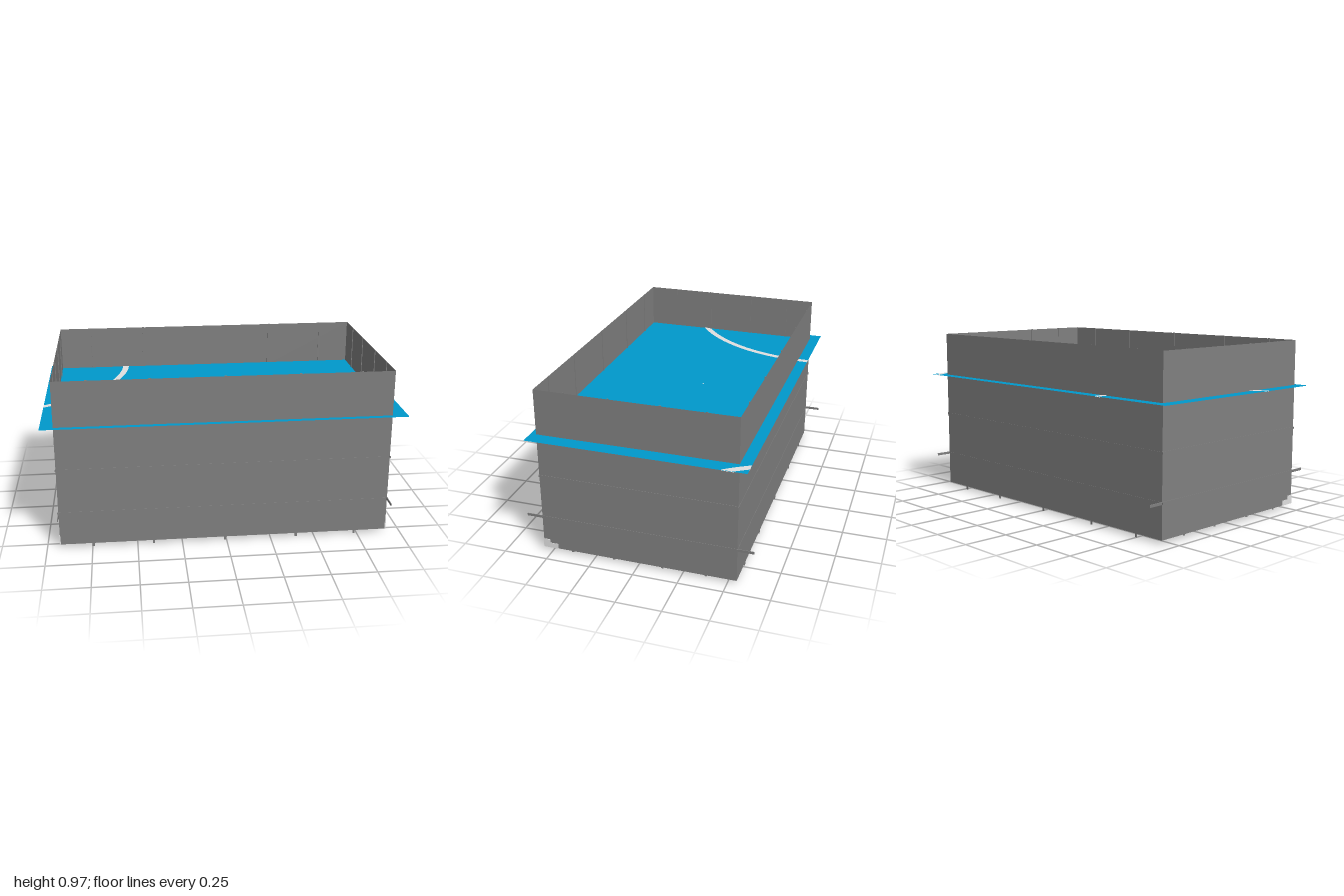
import * as THREE from 'three';

export function createModel() {
  const model = new THREE.Group();
  const material = (name, color) => {
    const m = new THREE.MeshStandardMaterial({ color, side: THREE.DoubleSide });
    m.name = name;
    return m;
  };
  const grey = material('grey', 0x808080);
  const blue = material('blue', 0x0099cc);
  const white = material('white', 0xe0e0e0);

  const add = (name, geometry, mat, x, y, z) => {
    const mesh = new THREE.Mesh(geometry, mat);
    mesh.name = name;
    mesh.position.set(x, y, z);
    model.add(mesh);
    return mesh;
  };
  const box = (name, mat, w, h, d, x, y, z) =>
    add(name, new THREE.BoxGeometry(w, h, d), mat, x, y, z);

  // Open-topped tank made of thin sheets, with a pale floor
  const left = 0.915, right = -0.928, half = 0.549, bottom = 0.02, top = 0.965;
  const width = left - right, midX = (left + right) / 2;
  const height = top - bottom, midY = (top + bottom) / 2;
  for (const z of [-half, half]) {
    add('longWall', new THREE.PlaneGeometry(width, height), grey, midX, midY, z);
  }
  for (const x of [right, left]) {
    add('endWall', new THREE.PlaneGeometry(half * 2, height).rotateY(Math.PI / 2), grey, x, midY, 0);
  }
  add('floor', new THREE.PlaneGeometry(width, half * 2).rotateX(Math.PI / 2), white, midX, bottom, 0);

  // Upright ribs just inside the walls, reaching below the floor as small feet
  for (const z of [-half + 0.003, half - 0.003]) {
    for (const x of [-0.745, -0.41, -0.008, 0.397, 0.733]) {
      box('longWallRib', grey, 0.012, 0.967, 0.004, x, 0.4835, z);
    }
  }
  for (const x of [right + 0.003, left - 0.003]) {
    for (const z of [-0.38, -0.138, 0.138, 0.38]) {
      box('endWallRib', grey, 0.004, 0.954, 0.011, x, 0.49, z);
    }
  }

  // Horizontal rails; the low ones on the end walls overhang both corners
  for (const y of [0.21, 0.463]) {
    for (const z of [-half, half]) {
      box('longWallRail', grey, width + 0.012, 0.01, 0.003, midX, y, z);
    }
    const length = y < 0.3 ? 1.275 : 1.106;
    for (const x of [right, left]) {
      box('endWallRail', grey, 0.004, 0.014, length, x, y, 0);
    }
  }

  // Stepped pale patches low on the end walls
  for (const x of [right, left]) {
    box('patchLower', white, 0.006, 0.029, 0.086, x, 0.0345, 0.508);
    box('patchUpper', white, 0.006, 0.022, 0.038, x, 0.059, 0.532);
  }

  // Blue sheet crossing the tank
  const level = 0.71;
  add('waterSheet', new THREE.PlaneGeometry(2, 1.19).rotateX(-Math.PI / 2), blue, 0, level, -0.015);

  // Curved bands, each trimmed at the edges of the sheet
  const band = (cx, cz, inner, outer, start, end) => {
    const shape = new THREE.Shape();
    shape.absarc(0, 0, outer, start(outer), end(outer), start(outer) > end(outer));
    shape.absarc(0, 0, inner, end(inner), start(inner), start(inner) < end(inner));
    const geometry = new THREE.ShapeGeometry(shape, 40).rotateX(-Math.PI / 2);
    for (const dy of [-0.002, 0.002]) add('curvedBand', geometry, white, cx, level + dy, cz);
  };
  band(-1.436, -0.6, 0.893, 0.93, r => Math.asin(0.01 / r), r => -Math.acos(0.436 / r));
  band(1.73, -1.04, 0.885, 0.924, r => Math.PI + Math.asin(0.43 / r), r => Math.PI + Math.acos(0.73 / r));

  // Tiny mark near the middle of the sheet
  add('centreMark', new THREE.PlaneGeometry(0.01, 0.01).rotateX(-Math.PI / 2), white, 0.01, level + 0.002, -0.09);

  return model;
}
